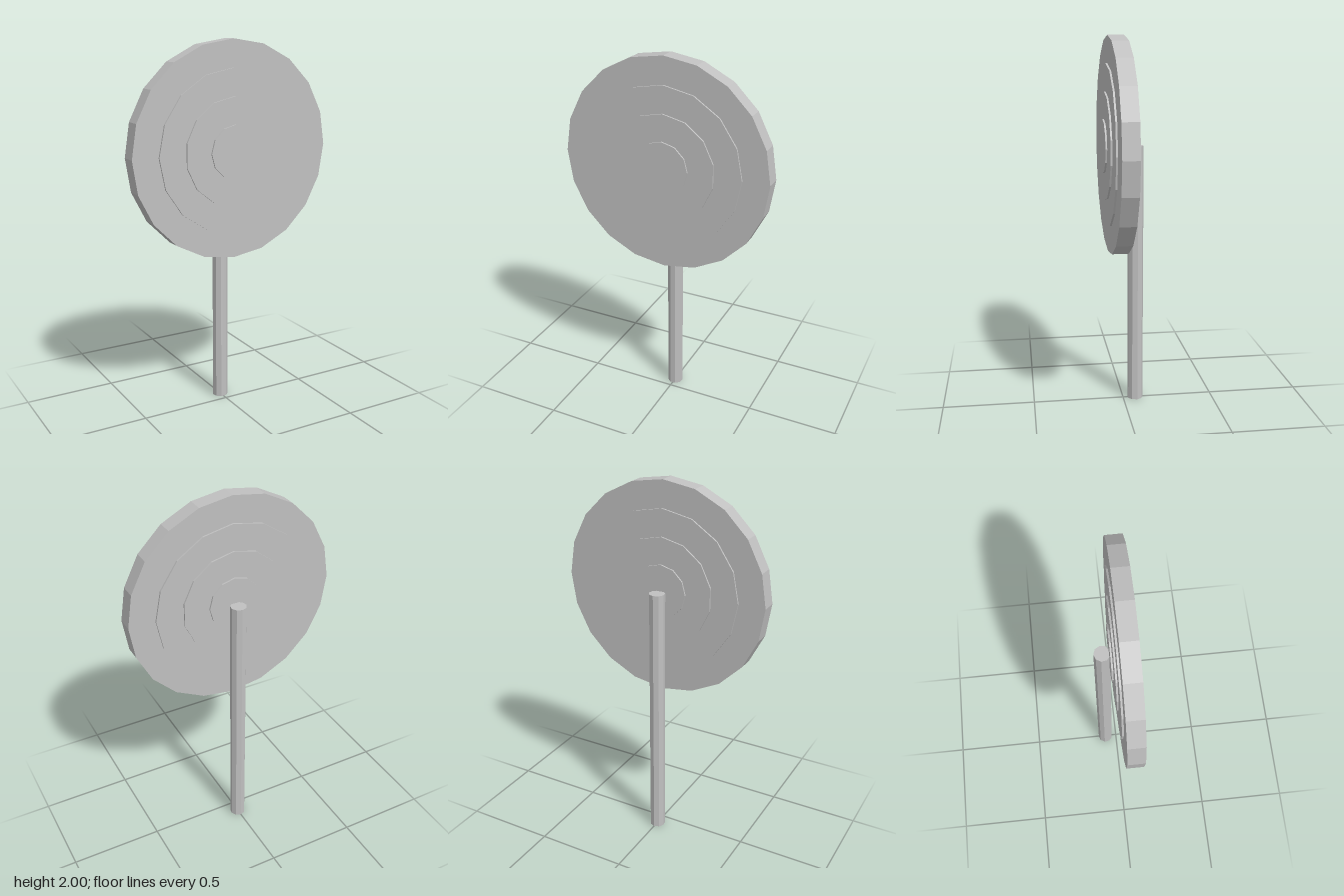
import * as THREE from 'three';

export function createModel() {
  const model = new THREE.Group();
  const grey = new THREE.MeshStandardMaterial({ color: 0xc0c0c0 });
  grey.name = 'plain grey';
  grey.flatShading = true;

  const add = (name, geometry, x, y, z) => {
    const mesh = new THREE.Mesh(geometry, grey);
    mesh.name = name;
    mesh.position.set(x, y, z);
    model.add(mesh);
  };

  // Nested discs: each smaller one is slightly thicker, so it stands proud on both faces
  const discs = [
    ['outerDisc', 0.5714, 0.088, 20],
    ['wideRing', 0.4286, 0.107, 16],
    ['middleRing', 0.2857, 0.125, 14],
    ['centreDisc', 0.1429, 0.143, 12],
  ];
  for (const [name, radius, thickness, sides] of discs) {
    const disc = new THREE.CylinderGeometry(radius, radius, thickness, sides).rotateX(Math.PI / 2);
    add(name, disc, 0, 1.4286, 0.038);
  }

  // Upright post behind the discs, with one edge facing straight back
  const post = new THREE.CylinderGeometry(0.0428, 0.0428, 1.4286, 9, 1, false, Math.PI);
  add('post', post, 0, 0.7143, -0.068);

  return model;
}
